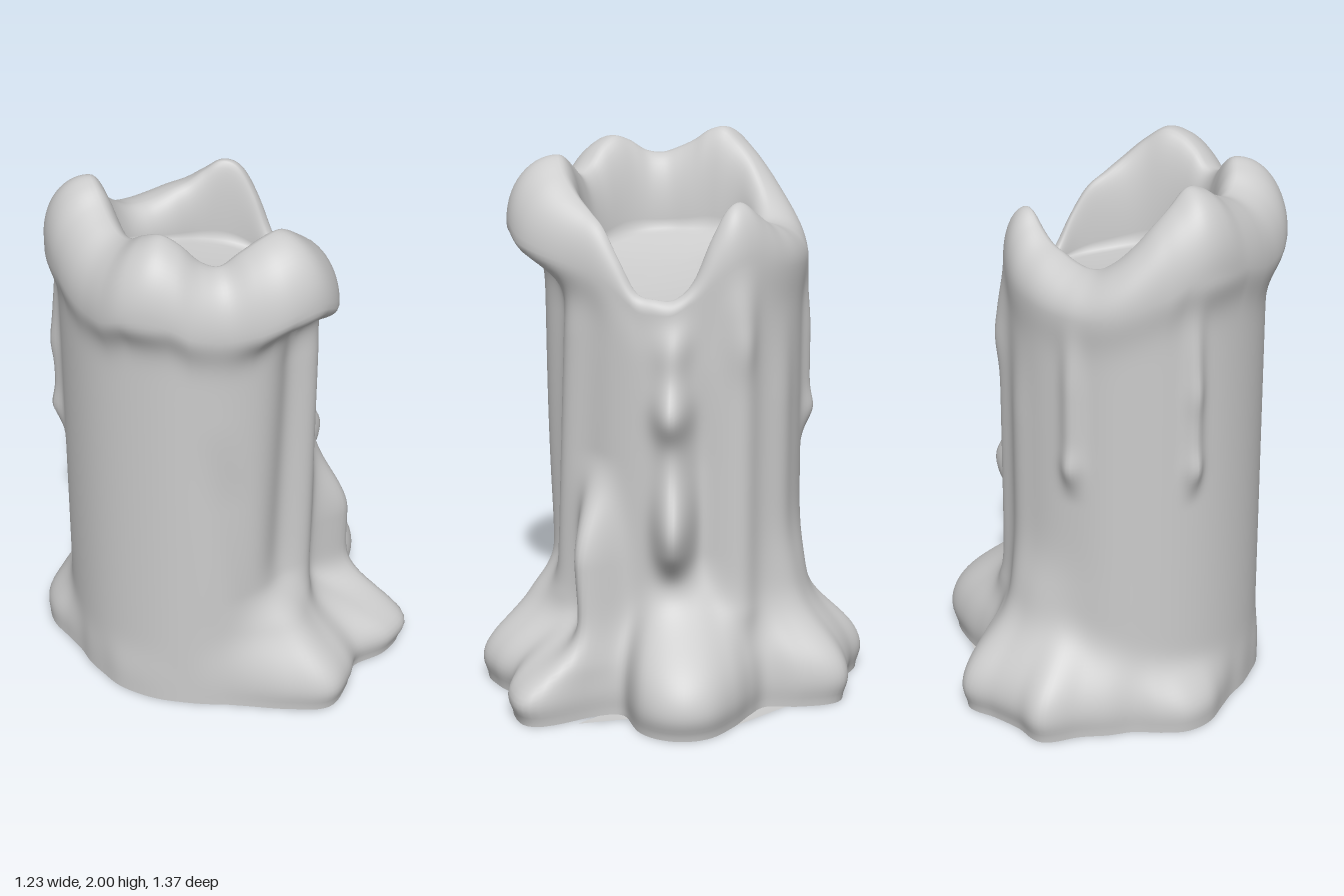
import * as THREE from 'three';

const CX = -0.1; // axis of the column
const COLS = 216;
const RAD = Math.PI / 180;

// Evenly spaced values around the axis, starting at +x and turning towards +z
const FOOT = [.66, .52, .58, .8, .78, .68, .71, .73, .64, .56, .51, .49, .48, .48, .48, .48, .47, .47,
  .47, .5, .55, .57, .55, .53, .56, .6, .69, .66, .67, .71, .62, .52, .55, .63, .71, .72];
const FOOT_HEIGHT = [.33, .23, .26, .26, .2, .18, .17, .18, .24, .30, .30, .33];
const COLUMN = [.43, .43, .43, .46, .48, .49, .49, .48, .475, .47, .47, .47, .47, .455, .45, .44, .42, .41];
const LIP = [.42, .43, .48, .60, .60, .53, .54, .55, .51, .50, .51, .49, .49, .47, .46, .45, .43, .41];
const HOLE = [.37, .37, .34, .33, .32, .31, .29, .27, .25, .24, .26, .29, .28, .25, .25, .28, .32, .35];
const HEIGHT = [1.52, 1.54, 1.65, 1.75, 1.80, 1.85, 1.91, 1.96, 1.95, 1.91, 1.86, 1.88, 1.94, 1.97, 1.95, 1.91,
  1.90, 1.92, 1.95, 1.99, 2.0, 1.95, 1.89, 1.82, 1.76, 1.72, 1.71, 1.72, 1.74, 1.76, 1.80, 1.84, 1.82, 1.72, 1.58, 1.52];

// Drips: angle, angular width, bottom, top, thickness, lean in degrees per unit of height
const DRIPS = [
  [351, 7, 0.55, 1.6, 0.04, 0],
  [318, 9, 0.3, 1.85, 0.04, 0],
  [336, 7, 0.5, 1.3, -0.02, 0],
  [29, 9, 0.12, 0.95, 0.14, 8],
  [50, 10, 0.3, 1.75, 0.03, -8],
  [68, 12, 0.4, 1.8, -0.045, -8],
  [96, 9, 0.4, 1.3, -0.015, 20],
  [205, 4, 0.95, 1.75, 0.03, 0],
  [258, 5, 0.95, 1.7, 0.03, 0],
  [292, 8, 0.3, 1.5, 0.015, 0],
];
// Beads on the drips: angle, height, angular width, half height, thickness
const BEADS = [
  [350, 1.38, 8, 0.09, 0.02], [351, 1.12, 8, 0.09, 0.065], [350, 0.7, 8, 0.15, 0.105],
  [205, 1.02, 4, 0.06, 0.015], [205, 1.3, 4, 0.07, 0.01], [258, 1.02, 5, 0.06, 0.015],
  [318, 1.35, 6, 0.1, 0.015], [72, 0.3, 11, 0.16, 0.05], [280, 0.42, 20, 0.16, 0.04],
];

// Smooth interpolation in a closed list
function around(list, deg) {
  const n = list.length;
  const f = ((deg % 360 + 360) % 360) / 360 * n;
  const i = Math.floor(f), t = f - i;
  const [a, b, c, d] = [-1, 0, 1, 2].map(k => list[(i + k + n) % n]);
  return b + 0.5 * t * (c - a + t * (2 * a - 5 * b + 4 * c - d + t * (3 * (b - c) + d - a)));
}
const bell = v => Math.exp(-v * v);
const turn = (a, b) => ((a - b + 540) % 360 + 360) % 360 - 180;

// Depth of the rounded rim below its crest
const rimDepth = top => THREE.MathUtils.clamp((top - 1.45) * 0.5, 0.05, 0.23);

// Radius of the outer wall
function wall(deg, y) {
  const top = around(HEIGHT, deg);
  const col = around(COLUMN, deg);
  const tuck = 1 - 0.1 * bell(y / 0.06);
  const foot = Math.exp(-Math.pow(y / around(FOOT_HEIGHT, deg), 3.5)) * tuck;
  let r = col + (around(FOOT, deg) + 0.01 - col) * foot;
  const lipY = Math.min(top - rimDepth(top), 1.72);
  const lip = y > lipY ? 1 : bell((y - lipY) / 0.1);
  r += (around(LIP, deg) - col) * lip;
  const clear = (1 - foot) * (1 - 0.6 * lip);
  for (const [a, w, y0, y1, amp, lean] of DRIPS) {
    const fade = THREE.MathUtils.smoothstep(y, y0 - 0.08, y0 + 0.08) * (1 - THREE.MathUtils.smoothstep(y, y1 - 0.4, y1));
    r += amp * fade * clear * bell(turn(deg, a + lean * (y - 0.8)) / w);
  }
  for (const [a, h, w, s, amp] of BEADS) r += amp * clear * bell(turn(deg, a) / w) * bell((y - h) / s);
  return r;
}

// Pool surface, sloping down towards the spout at +x
const pool = x => 1.56 - 0.22 * x;

// One upright section: outer wall, rounded rim, inner wall, pool
function section(deg) {
  const top = around(HEIGHT, deg);
  const depth = rimDepth(top);
  const shoulder = top - depth;
  const pts = [];
  for (let j = 0; j <= 90; j++) {
    const y = shoulder * j / 90;
    pts.push([wall(deg, y), y]);
  }
  const out = wall(deg, shoulder);
  const hole = Math.min(around(HOLE, deg), out - 0.05);
  const crest = out * 0.35 + hole * 0.65;
  for (let j = 1; j <= 14; j++) {
    const a = j / 14 * Math.PI / 2;
    pts.push([crest + (out - crest) * Math.cos(a), shoulder + depth * Math.sin(a)]);
  }
  const edge = pool(CX + hole * Math.cos(deg * RAD));
  for (let j = 1; j <= 12; j++) {
    const a = j / 12 * Math.PI / 2;
    pts.push([crest - (crest - hole) * Math.sin(a), top - (top - edge) * (1 - Math.cos(a))]);
  }
  for (let j = 1; j <= 10; j++) {
    const t = 1 - j / 10;
    const x = CX + hole * t * Math.cos(deg * RAD);
    pts.push([hole * t, pool(x) - 0.03 * (1 - t * t)]);
  }
  return pts;
}

function mesh(name, positions, index, material) {
  const g = new THREE.BufferGeometry();
  g.setAttribute('position', new THREE.Float32BufferAttribute(positions, 3));
  g.setIndex(index);
  g.computeVertexNormals();
  const m = new THREE.Mesh(g, material);
  m.name = name;
  return m;
}

export function createModel() {
  const group = new THREE.Group();
  group.name = 'meltedCandle';
  const wax = new THREE.MeshStandardMaterial({ color: 0xcccccc });
  const thin = new THREE.MeshStandardMaterial({ color: 0xcccccc, side: THREE.DoubleSide });

  // Wax body, from the foot over the rim down to the pool
  const sections = Array.from({ length: COLS }, (_, i) => section(i / COLS * 360));
  const rows = sections[0].length;
  const positions = [], index = [];
  for (let j = 0; j < rows; j++) {
    for (let i = 0; i < COLS; i++) {
      const a = i / COLS * 360 * RAD;
      const [r, y] = sections[i][j];
      positions.push(CX + r * Math.cos(a), y, r * Math.sin(a));
      if (j === rows - 1) continue;
      const p = j * COLS + i, q = j * COLS + (i + 1) % COLS;
      index.push(p, p + COLS, q, q, p + COLS, q + COLS);
    }
  }
  group.add(mesh('waxBody', positions, index, wax));

  // Flat underside
  const base = [CX, 0, 0], fan = [];
  for (let i = 0; i < COLS; i++) {
    base.push(...positions.slice(i * 3, i * 3 + 3));
    fan.push(0, 1 + i, 1 + (i + 1) % COLS);
  }
  group.add(mesh('underside', base, fan, wax));

  // Thin webs of the base between neighbouring lobes
  const webs = [.19, 0, -.49, .41, 0, -.32, .24, 0, -.37, .43, 0, .06, .51, 0, .24, .36, 0, .13];
  group.add(mesh('baseWebs', webs, [0, 1, 2, 3, 4, 5], thin));
  return group;
}
